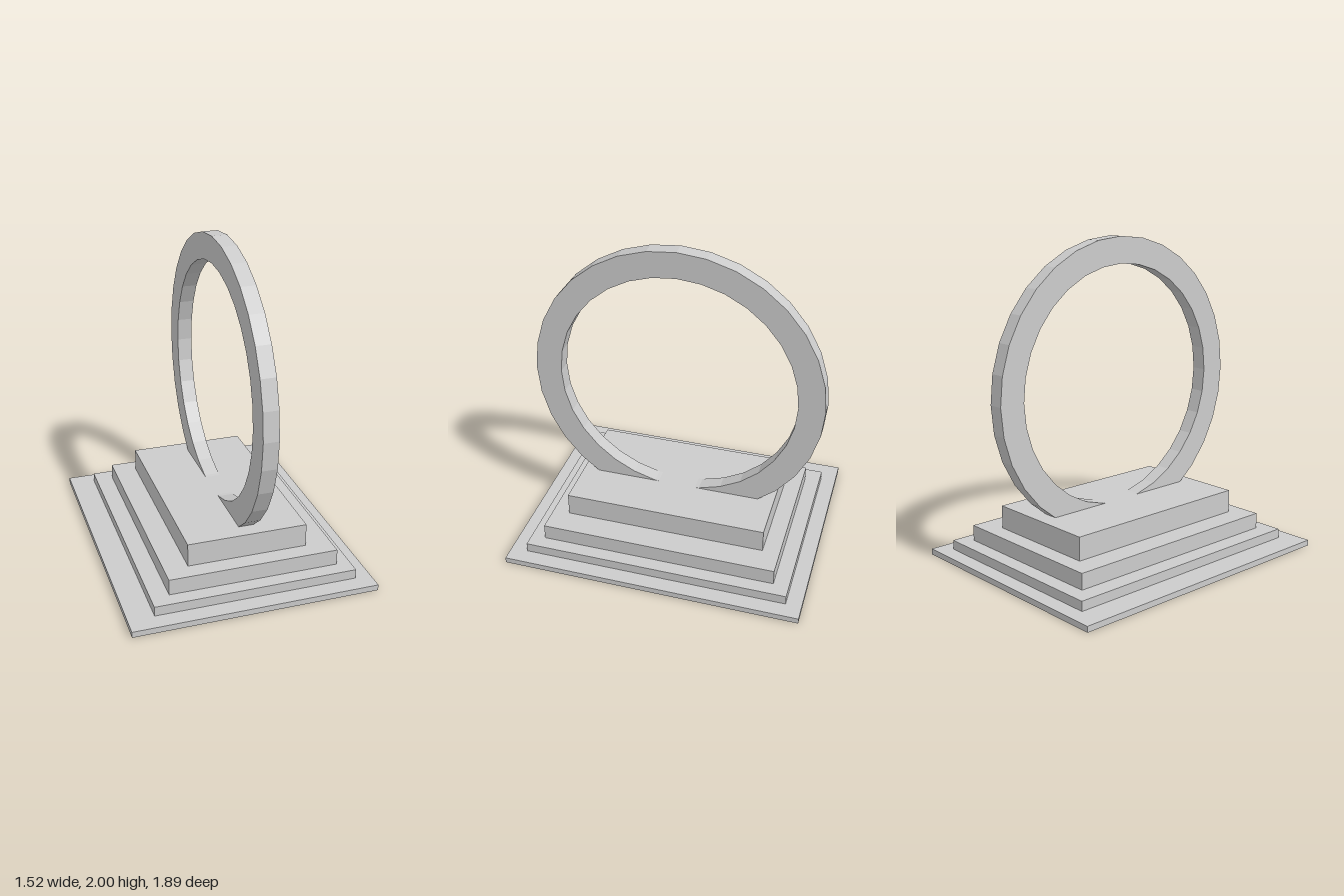
import * as THREE from 'three';

export function createModel() {
  const model = new THREE.Group();
  const material = new THREE.MeshStandardMaterial({ color: 0xcccccc, flatShading: true });

  // Stepped base: x min, x max, z min, z max, y bottom, y top
  const tiers = [
    [-0.76, 0.76, -0.945, 0.945, 0, 0.037],
    [-0.6, 0.66, -0.847, 0.837, 0.037, 0.097],
    [-0.487, 0.573, -0.75, 0.745, 0.097, 0.197],
    [-0.34, 0.41, -0.642, 0.637, 0.197, 0.343],
  ];
  const base = new THREE.Group();
  base.name = 'steppedBase';
  tiers.forEach(([x0, x1, z0, z1, y0, y1], i) => {
    const tier = new THREE.Mesh(new THREE.BoxGeometry(x1 - x0, y1 - y0, z1 - z0), material);
    tier.position.set((x0 + x1) / 2, (y0 + y1) / 2, (z0 + z1) / 2);
    tier.name = `tier${i + 1}`;
    base.add(tier);
  });
  model.add(base);

  // Upright 32-sided ring, its foot sunk into the top tier
  const circle = (radius) => Array.from({ length: 32 }, (_, i) => {
    const a = (i / 32) * Math.PI * 2;
    return new THREE.Vector2(Math.cos(a) * radius, Math.sin(a) * radius);
  });
  const shape = new THREE.Shape(circle(0.917));
  shape.holes.push(new THREE.Path(circle(0.752).reverse()));
  const ringGeometry = new THREE.ExtrudeGeometry(shape, { depth: 0.096, bevelEnabled: false });
  ringGeometry.rotateY(Math.PI / 2);
  const ring = new THREE.Mesh(ringGeometry, material);
  ring.position.set(0.01, 1.083, 0);
  ring.name = 'ring';
  model.add(ring);

  return model;
}
